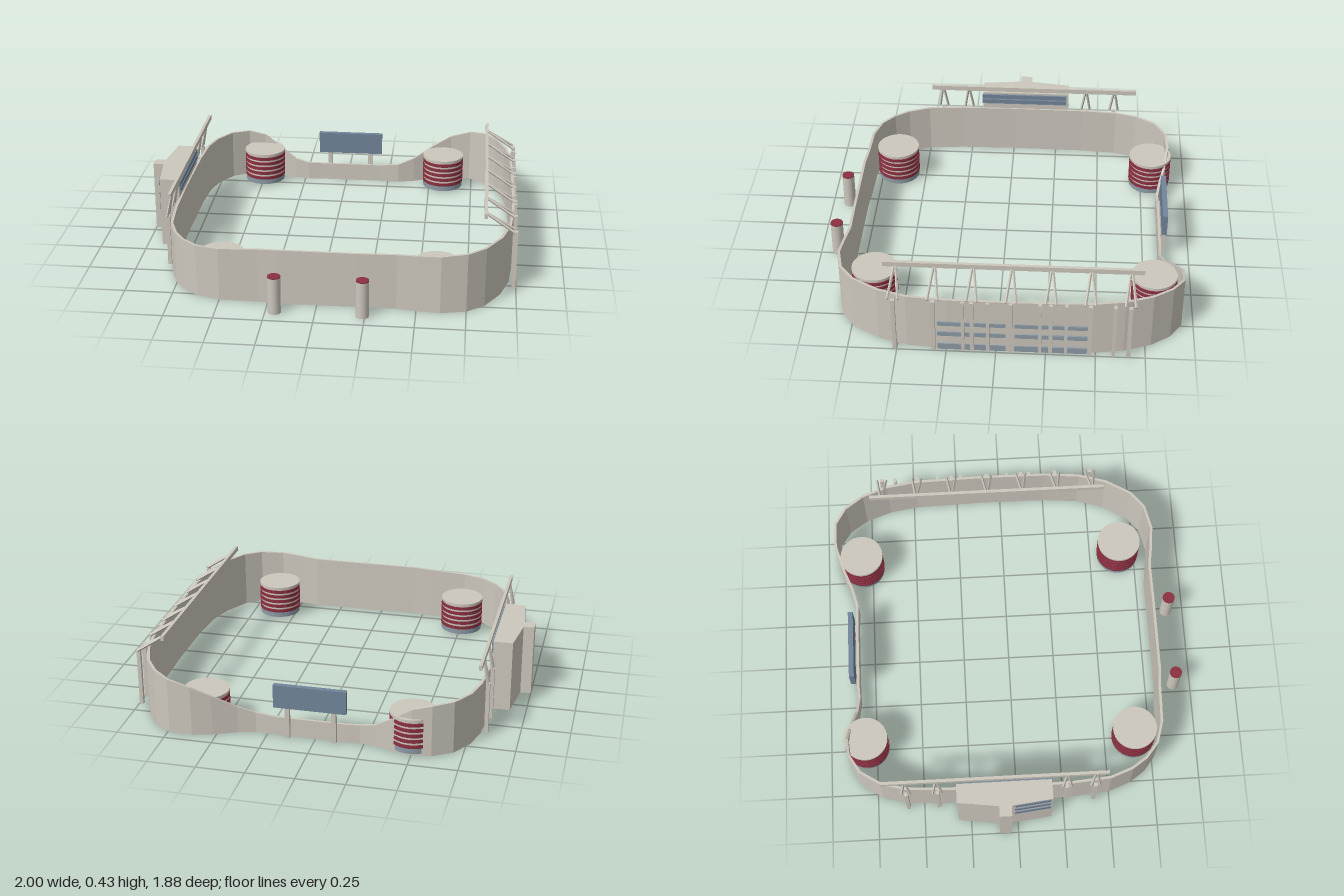
import * as THREE from 'three';

const mat = (name, color) => Object.assign(new THREE.MeshStandardMaterial({ color, flatShading: false }), { name });

export function createModel() {
  const concrete = mat('concrete', 0xccc7bd);
  concrete.flatShading = true;
  const smoothConcrete = mat('smooth concrete', 0xccc7bd);
  const glass = mat('blue grey glass', 0x8c9aa5);
  const slate = mat('slate blue', 0x71859a);
  const red = mat('dark red', 0x8a3040);
  red.side = THREE.DoubleSide;
  const root = new THREE.Group();
  root.name = 'stadium';

  const add = (name, geometry, material, parent = root) => {
    const mesh = new THREE.Mesh(geometry, material);
    mesh.name = name;
    parent.add(mesh);
    return mesh;
  };
  // Box given by its limits on each axis
  const box = (name, material, x0, x1, y0, y1, z0, z1, parent = root) => {
    const m = add(name, new THREE.BoxGeometry(x1 - x0, y1 - y0, z1 - z0), material, parent);
    m.position.set((x0 + x1) / 2, (y0 + y1) / 2, (z0 + z1) / 2);
    return m;
  };
  // Square bar between two points
  const strut = (name, a, b, r, parent) => {
    const from = new THREE.Vector3(...a), to = new THREE.Vector3(...b);
    const m = add(name, new THREE.CylinderGeometry(r, r, from.distanceTo(to), 4), concrete, parent);
    m.position.copy(from).add(to).multiplyScalar(0.5);
    m.quaternion.setFromUnitVectors(new THREE.Vector3(0, 1, 0), to.sub(from).normalize());
    return m;
  };

  // Outer wall: plan position and top height [x, z, height], with a low gap at the back
  const plan = [
    [-0.62, 0.765, 0.28], [-0.5, 0.8, 0.283], [-0.3, 0.805, 0.292], [-0.2, 0.813, 0.295], [0.2, 0.813, 0.295],
    [0.4, 0.81, 0.297], [0.5, 0.825, 0.302], [0.62, 0.837, 0.309], [0.75, 0.807, 0.315], [0.84, 0.735, 0.318],
    [0.92, 0.6, 0.318], [0.965, 0.45, 0.318], [0.982, 0.25, 0.318], [0.985, -0.1, 0.318], [0.975, -0.48, 0.318],
    [0.95, -0.64, 0.318], [0.9, -0.78, 0.316], [0.83, -0.88, 0.312], [0.74, -0.94, 0.298], [0.62, -0.943, 0.265],
    [0.52, -0.915, 0.215], [0.4, -0.865, 0.145], [0.31, -0.842, 0.11], [0.2, -0.846, 0.1], [-0.16, -0.846, 0.1],
    [-0.23, -0.842, 0.102], [-0.31, -0.855, 0.12], [-0.4, -0.882, 0.18], [-0.5, -0.9, 0.25], [-0.6, -0.89, 0.275],
    [-0.7, -0.83, 0.28], [-0.77, -0.72, 0.28], [-0.803, -0.6, 0.28], [-0.817, -0.4, 0.28], [-0.822, 0, 0.28],
    [-0.817, 0.3, 0.28], [-0.8, 0.5, 0.28], [-0.755, 0.62, 0.28], [-0.7, 0.7, 0.28],
  ];
  const n = plan.length, pos = [], index = [];
  plan.forEach(([x, z, h], i) => {
    const p = plan[(i + n - 1) % n], q = plan[(i + 1) % n];
    const len = Math.hypot(q[0] - p[0], q[1] - p[1]);
    const ix = x + (q[1] - p[1]) / len * 0.014, iz = z - (q[0] - p[0]) / len * 0.014;
    pos.push(x, 0, z, x, h, z, ix, h, iz, ix, 0, iz);
    for (let k = 0; k < 4; k++) {
      const j = (i + 1) % n, l = (k + 1) % 4;
      const a = i * 4 + k, b = j * 4 + k, c = j * 4 + l, d = i * 4 + l;
      index.push(a, b, c, a, c, d);
    }
  });
  let wall = new THREE.BufferGeometry();
  wall.setAttribute('position', new THREE.Float32BufferAttribute(pos, 3));
  wall.setIndex(index);
  wall = wall.toNonIndexed();
  wall.computeVertexNormals();
  add('outerWall', wall, concrete);

  // Corner ramp towers: banded, open underneath
  for (const [x, z] of [[-0.49, -0.798], [0.58, -0.798], [-0.505, 0.655], [0.595, 0.655]]) {
    const tower = new THREE.Group();
    tower.name = 'rampTower';
    tower.position.set(x, 0, z);
    root.add(tower);
    const band = (name, y, h, r, m, open) => {
      add(name, new THREE.CylinderGeometry(r, r, h, 32, 1, open), m, tower).position.y = y + h / 2;
    };
    band('baseBand', 0.012, 0.03, 0.115, glass, true);
    band('towerLining', 0.012, 0.17, 0.11, red, true);
    for (let i = 0; i < 5; i++) {
      band('rampRing', 0.042 + i * 0.03, 0.018, 0.118, red, false);
      band('towerBand', 0.06 + i * 0.03, 0.012, 0.113, smoothConcrete, false);
    }
    band('towerRoof', 0.186, 0.014, 0.118, smoothConcrete, false);
  }

  // Entrance pillars with red caps
  for (const x of [-0.203, 0.237]) {
    add('entrancePillar', new THREE.CylinderGeometry(0.033, 0.033, 0.195, 24), smoothConcrete).position.set(x, 0.0975, 0.905);
    add('pillarCap', new THREE.CylinderGeometry(0.033, 0.033, 0.005, 24), red).position.set(x, 0.1975, 0.905);
  }

  // Scoreboard over the low back wall
  box('scoreboard', slate, -0.165, 0.21, 0.168, 0.292, -0.872, -0.845);
  for (const x of [-0.1, 0.14]) box('scoreboardPost', concrete, x - 0.012, x + 0.012, 0, 0.17, -0.87, -0.848);

  // Light beams on A-shaped braces, with posts on the wall below
  const beamSide = (name, beam, zs, footX, footY, tipX, postX, spread) => {
    const side = new THREE.Group();
    side.name = name;
    root.add(side);
    box('lightBeam', concrete, ...beam, side);
    for (const z of zs) {
      for (const s of [-1, 1]) strut('brace', [footX, footY, z + s * spread], [tipX, 0.41, z + s * 0.004], 0.007, side);
      box('wallPost', concrete, postX - 0.01, postX + 0.01, 0, footY, z - 0.01, z + 0.01, side);
    }
  };
  beamSide('leftLights', [0.823, 0.84, 0.405, 0.432, -0.73, 0.572],
    [0.51, 0.313, 0.12, -0.075, -0.273, -0.468, -0.665], 0.985, 0.316, 0.835, 0.988, 0.026);
  beamSide('rightLights', [-0.812, -0.796, 0.405, 0.432, -0.71, 0.48],
    [-0.585, -0.42, 0.265, 0.415], -0.83, 0.28, -0.804, -0.829, 0.024);
  for (const z of [0.165, 0.04, -0.22, -0.35, -0.59]) box('wallFin', concrete, 0.972, 0.998, 0, 0.316, z - 0.008, z + 0.008);

  // Window bands on the left wall
  for (const [z0, z1] of [[-0.05, 0.293], [-0.457, -0.093]]) {
    for (const [y0, y1] of [[0.002, 0.037], [0.09, 0.115], [0.157, 0.18]]) {
      box('windowBand', glass, 0.98, 0.989, y0, y1, z0, z1);
    }
  }

  // Press building on the right side
  const press = new THREE.Group();
  press.name = 'pressBuilding';
  root.add(press);
  const outline = new THREE.Shape([[-0.815, 0.318], [-0.915, 0.318], [-0.944, 0.1], [-0.944, 0.03], [-0.92, -0.182], [-0.815, -0.182]]
    .map(([x, y]) => new THREE.Vector2(x, y)));
  add('pressBlock', new THREE.ExtrudeGeometry(outline, { depth: 0.385, bevelEnabled: false }), concrete, press).rotation.x = -Math.PI / 2;
  box('stairTower', concrete, -1, -0.94, 0, 0.385, -0.1, -0.035, press);
  for (let i = 0; i < 3; i++) {
    const w = add('outerWindow', new THREE.BoxGeometry(0.006, 0.03, 0.19), slate, press);
    w.position.set(-0.933, 0.22 + i * 0.07, 0.078);
    w.rotation.y = 0.113;
  }
  // Glazing that looks over the field
  box('innerGlazing', glass, -0.816, -0.81, 0.312, 0.376, -0.308, 0.188, press);
  for (const y of [0.318, 0.35]) box('innerWindow', slate, -0.812, -0.806, y, y + 0.023, -0.305, 0.185, press);

  return root;
}
